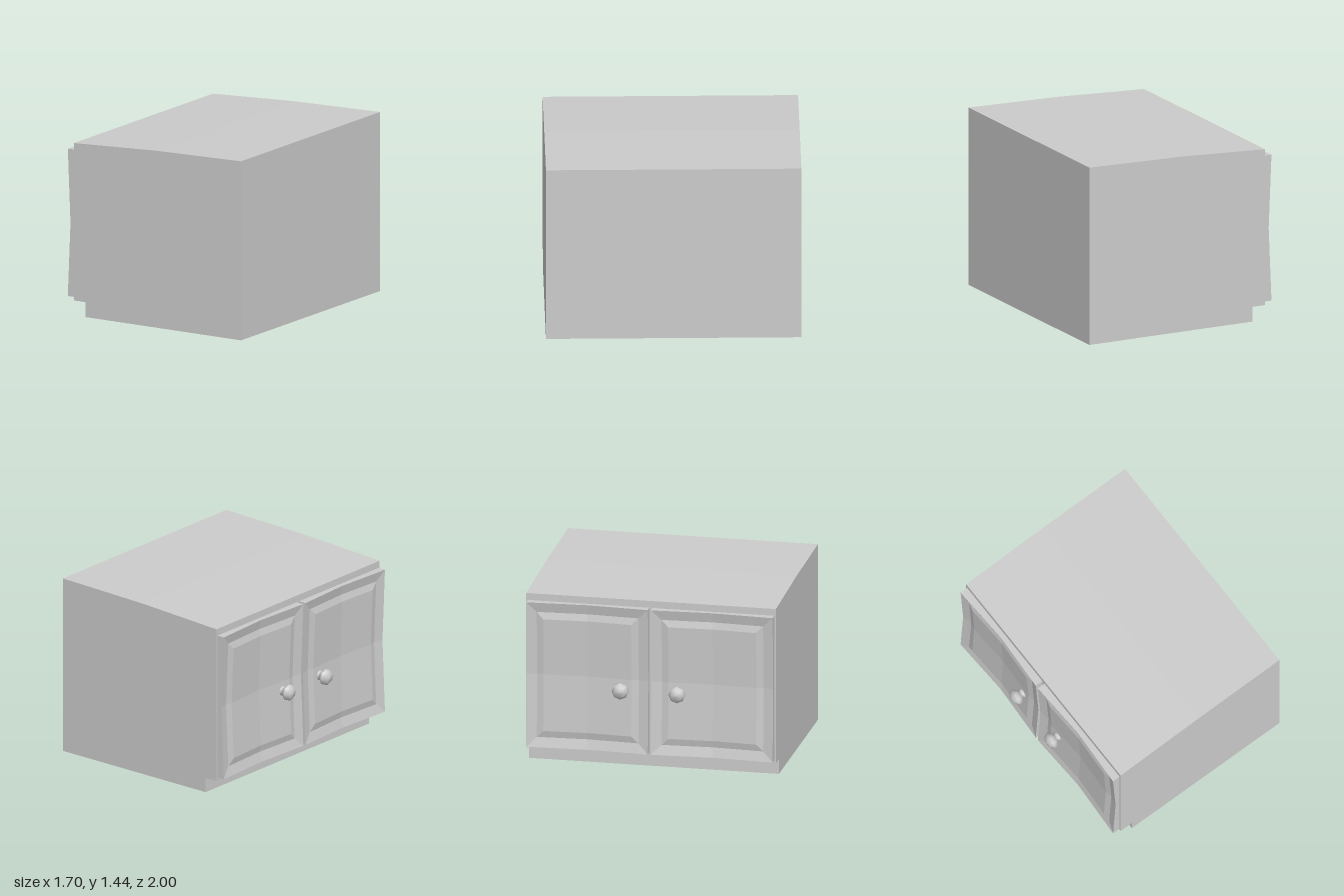
import * as THREE from 'three';

const material = new THREE.MeshStandardMaterial({ color: 0xcccccc });
const flatMaterial = new THREE.MeshStandardMaterial({ color: 0xcccccc, flatShading: true });

// Cabinet side profile (x, y) with toe kick and gently bent top, extruded along z
function cabinetBody() {
  const profile = [[-0.6, 0], [0.85, 0], [0.85, 1.44], [0.05, 1.423], [-0.71, 1.386], [-0.71, 0.12], [-0.6, 0.12]];
  const shape = new THREE.Shape(profile.map(([x, y]) => new THREE.Vector2(x, y)));
  const geometry = new THREE.ExtrudeGeometry(shape, { depth: 2, bevelEnabled: false });
  geometry.translate(0, 0, -1);
  return new THREE.Mesh(geometry, flatMaterial);
}

// Door facing -x: nested rings of corners and edge midpoints, dished toward the middle
function doorGeometry() {
  const halfW = 0.487, halfH = 0.5925, back = -0.71;
  const around = [[-1, -1], [0, -1], [1, -1], [1, 0], [1, 1], [0, 1], [-1, 1], [-1, 0]];
  const ring = (inset, sink, flat) => around.map(([u, v]) => {
    const z = u * (halfW - inset), y = v * (halfH - inset);
    const bow = 0.725 + 0.025 * (Math.abs(z) / halfW + Math.abs(y) / halfH);
    return [flat ? back : -bow + sink, y, z];
  });
  const rings = [
    ring(0, 0, true),      // back edge
    ring(0, 0, false),     // front edge
    ring(0.08, 0.015),     // groove
    ring(0.135, 0),        // raised panel
  ];
  const positions = [];
  const tri = (a, b, c) => positions.push(...a, ...b, ...c);
  for (let i = 0; i < 8; i++) {
    const j = (i + 1) % 8;
    for (let r = 0; r < rings.length - 1; r++) {
      const a = rings[r], b = rings[r + 1];
      tri(a[i], a[j], b[j]);
      tri(a[i], b[j], b[i]);
    }
    tri(rings[3][i], rings[3][j], [-0.725, 0, 0]);
    tri(rings[0][j], rings[0][i], [back, 0, 0]);
  }
  const geometry = new THREE.BufferGeometry();
  geometry.setAttribute('position', new THREE.Float32BufferAttribute(positions, 3));
  geometry.computeVertexNormals();
  return geometry;
}

// Turned knob: [radius, distance from the cabinet centre]
function knobGeometry() {
  const profile = [[0.04, 0.73], [0.04, 0.752], [0.028, 0.765], [0.046, 0.772], [0.066, 0.795],
    [0.066, 0.815], [0.042, 0.842], [0, 0.85]];
  const geometry = new THREE.LatheGeometry(profile.map(([r, d]) => new THREE.Vector2(r, d)), 8);
  geometry.rotateZ(Math.PI / 2);
  return geometry;
}

export function createModel() {
  const group = new THREE.Group();
  const body = cabinetBody();
  body.name = 'cabinetBody';
  group.add(body);

  // Mirrored pair of doors with their knobs near the middle
  const doorGeo = doorGeometry(), knobGeo = knobGeometry();
  for (const [side, label] of [[-1, 'back'], [1, 'front']]) {
    const door = new THREE.Mesh(doorGeo, flatMaterial);
    door.name = label + 'Door';
    door.position.set(0, 0.7375, side * 0.5);
    const knob = new THREE.Mesh(knobGeo, material);
    knob.name = label + 'Knob';
    knob.position.set(0, 0.66, side * 0.227);
    group.add(door, knob);
  }
  return group;
}
